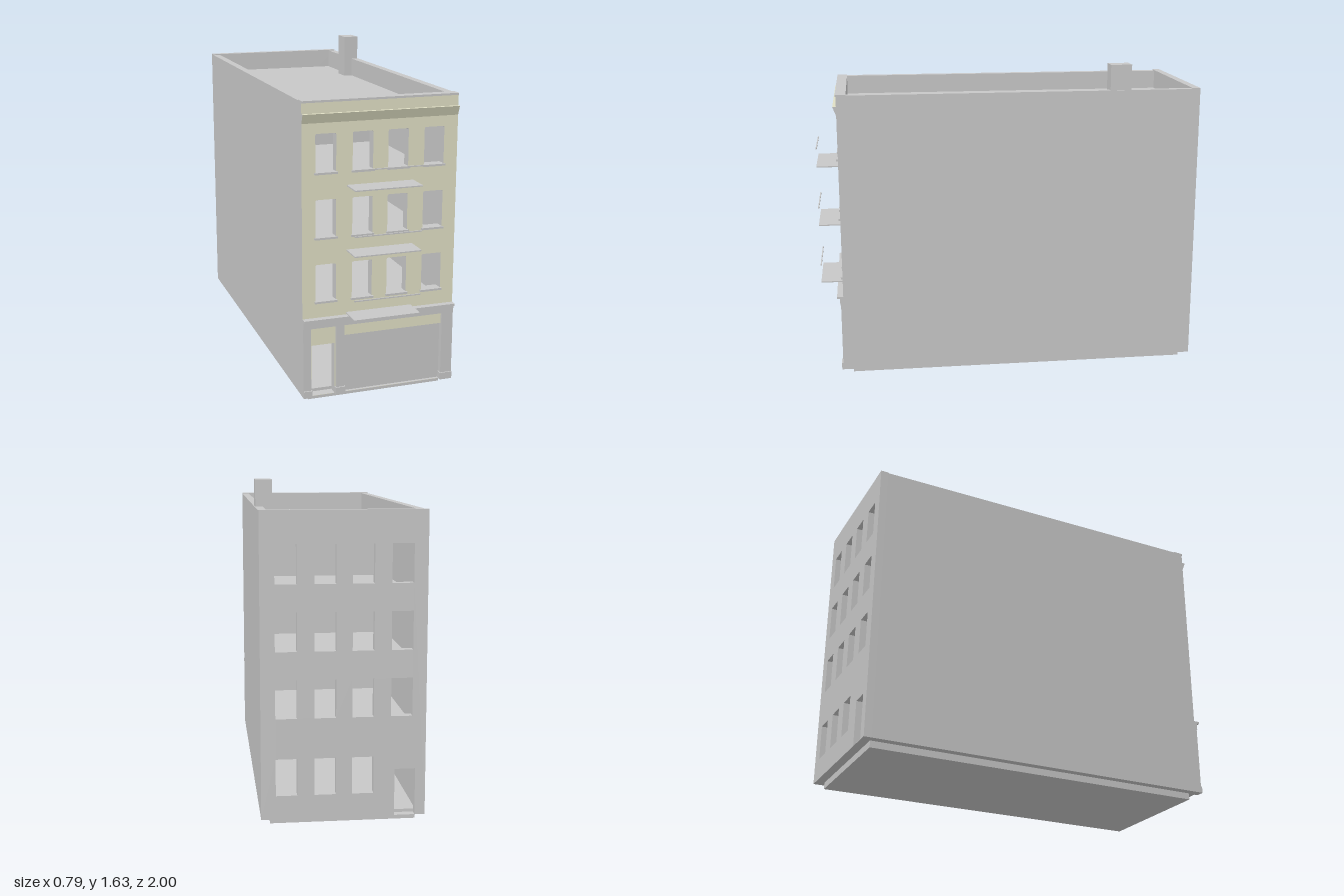
import * as THREE from 'three';

export function createModel() {
  const building = new THREE.Group();
  building.name = 'building';
  const grey = new THREE.MeshStandardMaterial({ color: 0xc7c7c7 });
  grey.name = 'grey masonry';
  const cream = new THREE.MeshStandardMaterial({ color: 0xe0dfc4 });
  cream.name = 'cream facade';

  const add = (name, geometry, material) => {
    const mesh = new THREE.Mesh(geometry, material);
    mesh.name = name;
    building.add(mesh);
  };
  // Grey box given by its limits on each axis
  const block = (name, x0, x1, y0, y1, z0, z1) =>
    add(name, new THREE.BoxGeometry(x1 - x0, y1 - y0, z1 - z0)
      .translate((x0 + x1) / 2, (y0 + y1) / 2, (z0 + z1) / 2), grey);

  const W = 0.395, BASE = 0.034, TOP = 1.5, SILL = BASE + 0.001;
  const columns = [[-0.328, -0.225], [-0.143, -0.04], [0.037, 0.14], [0.222, 0.325]];
  const rows = [[0.525, 0.71], [0.845, 1.03], [1.162, 1.347]];

  // Wall with rectangular openings; a small bow rounds the head of an opening
  const opening = ([x0, x1, y0, y1, bow = 0]) => {
    const p = new THREE.Path();
    p.moveTo(x0, y0).lineTo(x0, y1 - bow);
    if (bow) {
      p.quadraticCurveTo(x0, y1, x0 + bow * 2, y1);
      p.lineTo(x1 - bow * 2, y1);
      p.quadraticCurveTo(x1, y1, x1, y1 - bow);
    } else p.lineTo(x1, y1);
    p.lineTo(x1, y0).lineTo(x0, y0);
    return p;
  };
  const wall = (name, openings, z0, z1, material) => {
    const s = new THREE.Shape();
    s.moveTo(-W, BASE).lineTo(W, BASE).lineTo(W, TOP).lineTo(-W, TOP).lineTo(-W, BASE);
    s.holes = openings.map(opening);
    add(name, new THREE.ExtrudeGeometry(s, { depth: z1 - z0, bevelEnabled: false, curveSegments: 4 })
      .translate(0, 0, z0), material);
  };
  const windows = bow => rows.flatMap(([y0, y1]) =>
    columns.map(([x0, x1]) => [x0, x1, y0, y1, bow]));

  // Front: cream skin backed by masonry, with door and shop openings
  const frontOpenings = [...windows(0.006), [-0.35, -0.23, SILL, 0.3], [-0.185, 0.335, SILL, 0.335]];
  wall('facade', frontOpenings, 0.86, 0.88, [cream, grey]);
  wall('frontWall', frontOpenings, 0.83, 0.86, grey);
  block('shopfrontPanel', -0.19, 0.34, BASE, 0.34, 0.85, 0.865);

  // Back: windows on every storey and a door
  wall('backWall', [
    ...windows(0),
    ...columns.slice(1).map(([x0, x1]) => [x0, x1, 0.15, 0.33]),
    [-0.345, -0.245, SILL, 0.265],
  ], -1, -0.96, grey);

  // Side walls
  for (const s of [-1, 1]) {
    const x = s * 0.375;
    block('sideWall', x - 0.02, x + 0.02, BASE, TOP, -0.96, 0.83);
  }

  // Storey floors with the ceiling below each, roof, and a partition between rooms
  for (const [y0, y1] of [[BASE, 0.05], [0.345, 0.45], [1.04 - 0.32, 0.77], [1.04, 1.09], [1.357, 1.4]]) {
    block(y1 > 1.3 ? 'roof' : 'floor', -0.356, 0.356, y0, y1, -0.961, 0.831);
  }
  block('partition', -0.356, 0.356, 0.05, 1.39, -0.08, -0.05);

  // Foundation, parapet caps and chimney
  block('foundation', -0.355, 0.35, 0, BASE, -0.955, 0.84);
  block('frontParapetCap', -W, W, TOP - 0.006, TOP + 0.004, 0.83, 0.884);
  block('backParapetCap', -W, W, TOP, TOP + 0.004, -1, -0.96);
  block('chimney', 0.308, 0.39, 1.39, 1.631, -0.633, -0.523);

  // Mouldings: a (z, y) profile swept across the width
  const moulding = (name, points, material) => {
    const s = new THREE.Shape(points.map(([z, y]) => new THREE.Vector2(z, y)));
    add(name, new THREE.ExtrudeGeometry(s, { depth: 2 * W, bevelEnabled: false })
      .rotateY(-Math.PI / 2).translate(W, 0, 0), material);
  };
  moulding('cornice', [[0.879, 1.395], [0.898, 1.443], [0.879, 1.443]], [grey, cream]);
  moulding('shopCornice', [[0.879, 0.393], [0.897, 0.393], [0.897, 0.43], [0.912, 0.43],
    [0.912, 0.442], [0.879, 0.442]], grey);

  // Shopfront pilasters with plinths
  for (const [x0, x1] of [[-W, -0.355], [-0.225, -0.185], [0.335, W]]) {
    block('pilaster', x0, x1, BASE, 0.394, 0.87, 0.893);
    block('pilasterPlinth', Math.max(-W, x0 - 0.005), Math.min(W, x1 + 0.005), BASE, 0.07, 0.87, 0.9);
  }

  // Window sills
  for (const [y0] of rows) for (const [x0, x1] of columns) {
    block('windowSill', x0 - 0.006, x1 + 0.006, y0 - 0.009, y0 + 0.001, 0.86, 0.891);
  }

  // Balcony platforms with a floating front rail
  for (const y of [0.451, 0.77, 1.09]) {
    block('balconyPlatform', -0.172, 0.168, y - 0.003, y + 0.003, 0.88, 1);
    block('balconyRail', -0.172, 0.168, y + 0.095, y + 0.101, 0.994, 1);
  }

  return building;
}
